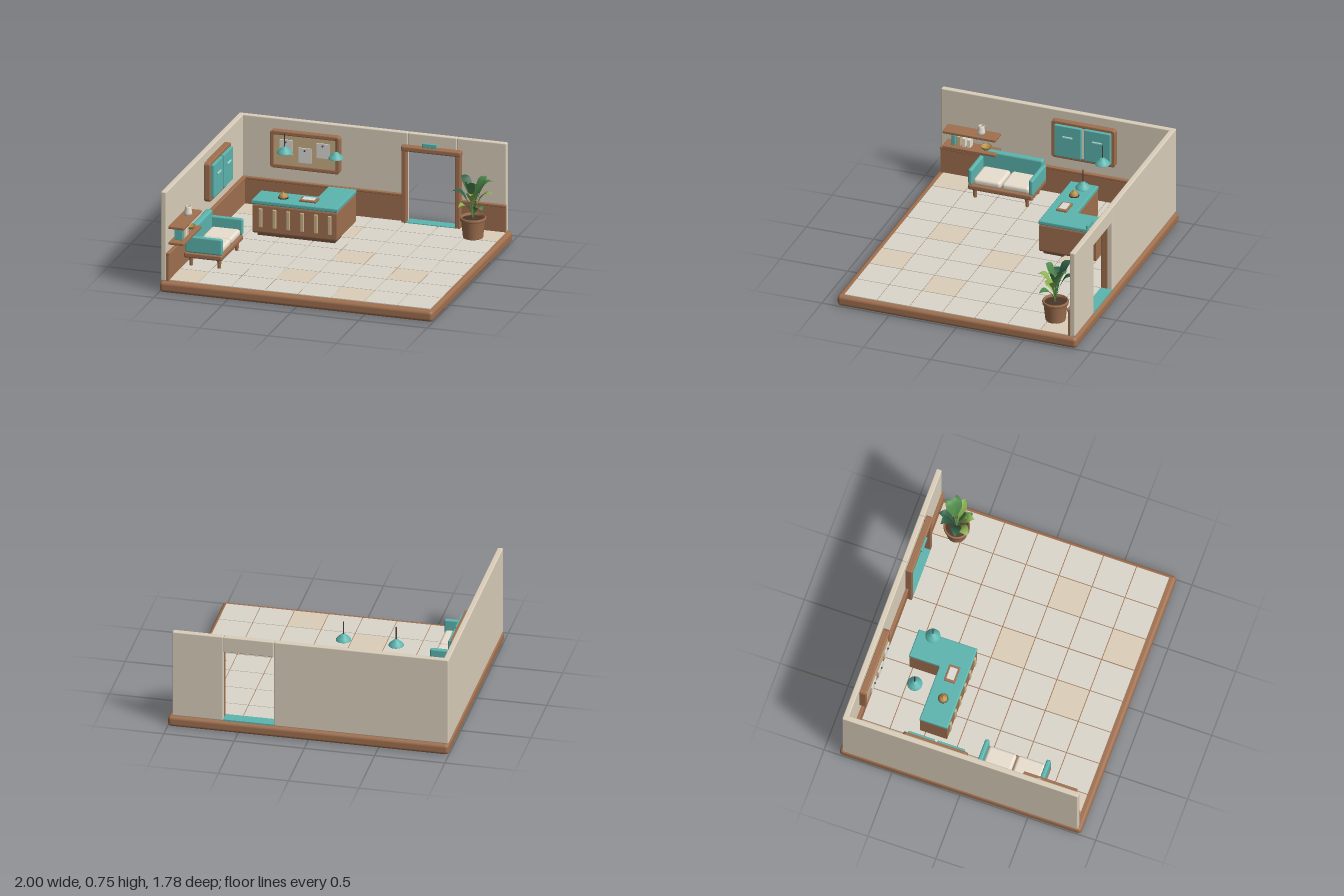
import * as THREE from 'three';
import { RoundedBoxGeometry } from 'three/addons/geometries/RoundedBoxGeometry.js';

const C = {
  wood: 0xa0704f, dark: 0x6b4a36, teal: 0x5cb5af, paleTeal: 0x9fd6d0, wall: 0xdbcfbb, tile: 0xdbd7cc,
  beige: 0xdccfb9, cork: 0xcbb188, cream: 0xe9dfcf, paper: 0xdedcd6, gold: 0xb58f4a, metal: 0x4a4038, soil: 0x4a3628,
};
const mats = {};
const mat = (color, side = THREE.FrontSide) =>
  (mats[color + '_' + side] ??= new THREE.MeshStandardMaterial({ color, side }));

function add(parent, name, geo, color, side) {
  const m = new THREE.Mesh(geo, mat(color, side));
  m.name = name;
  parent.add(m);
  return m;
}
function group(parent, name) {
  const g = new THREE.Group();
  g.name = name;
  parent.add(g);
  return g;
}
// box from its limits on each axis, with rounded edges when r > 0
function box(parent, name, color, [x0, x1], [y0, y1], [z0, z1], r = 0) {
  const s = [x1 - x0, y1 - y0, z1 - z0];
  const geo = r ? new RoundedBoxGeometry(...s, 2, Math.min(r, Math.min(...s) * 0.49)) : new THREE.BoxGeometry(...s);
  const m = add(parent, name, geo, color);
  m.position.set((x0 + x1) / 2, (y0 + y1) / 2, (z0 + z1) / 2);
  return m;
}
function lathe(parent, name, color, pts, x, y, z, side) {
  const m = add(parent, name, new THREE.LatheGeometry(pts.map(p => new THREE.Vector2(...p)), 28), color, side);
  m.position.set(x, y, z);
  return m;
}
function roundRect(P, w, h, r) {
  const s = new P(), a = w / 2, b = h / 2;
  s.moveTo(-a + r, -b).lineTo(a - r, -b).quadraticCurveTo(a, -b, a, -b + r).lineTo(a, b - r)
    .quadraticCurveTo(a, b, a - r, b).lineTo(-a + r, b).quadraticCurveTo(-a, b, -a, b - r)
    .lineTo(-a, -b + r).quadraticCurveTo(-a, -b, -a + r, -b);
  return s;
}
// rectangular frame lying in the xy plane, back face at z = 0
function frame(parent, name, w, h, bar, depth) {
  const b = 0.006;
  const s = roundRect(THREE.Shape, w - 2 * b, h - 2 * b, 0.02);
  s.holes.push(roundRect(THREE.Path, w - 2 * bar + 2 * b, h - 2 * bar + 2 * b, 0.008));
  const geo = new THREE.ExtrudeGeometry(s, { depth: depth - 2 * b, bevelSize: b, bevelThickness: b, bevelSegments: 2 });
  geo.translate(0, 0, b);
  return add(parent, name, geo, C.wood);
}
// L-shaped slab for the counter, between heights y0 and y1
function lSlab(parent, name, color, inset, y0, y1, b) {
  const i = inset + b, s = new THREE.Shape();
  [[-0.685 + i, 0.203 + i], [-0.06 - i, 0.203 + i], [-0.06 - i, 0.635 - i], [-0.267 + i, 0.635 - i],
    [-0.267 + i, 0.425 - i], [-0.282 + i, 0.41 - i], [-0.685 + i, 0.41 - i]]
    .forEach((p, k) => (k ? s.lineTo(...p) : s.moveTo(...p)));
  const geo = new THREE.ExtrudeGeometry(s, { depth: y1 - y0 - 2 * b, bevelSize: b, bevelThickness: b, bevelSegments: 3 });
  geo.rotateX(-Math.PI / 2).translate(0, y0 + b, 0);
  return add(parent, name, geo, color);
}
// arched leaf growing along +x, folded along its midrib
function leafGeometry(reach, tip) {
  const curve = new THREE.QuadraticBezierCurve3(
    new THREE.Vector3(0, 0, 0), new THREE.Vector3(reach * 0.35, tip + 0.04, 0), new THREE.Vector3(reach, tip, 0));
  const n = 12, pos = [], idx = [];
  for (let i = 0; i <= n; i++) {
    const t = i / n, p = curve.getPoint(t);
    const w = t < 0.3 ? 0.005 : 0.005 * (1 - t) + 0.036 * Math.sin(Math.PI * Math.pow((t - 0.3) / 0.7, 0.85));
    pos.push(p.x, p.y + w * 0.3, -w, p.x, p.y, 0, p.x, p.y + w * 0.3, w);
    if (i < n) for (const k of [0, 1]) {
      const a = i * 3 + k;
      idx.push(a, a + 1, a + 3, a + 1, a + 4, a + 3);
    }
  }
  const g = new THREE.BufferGeometry();
  g.setAttribute('position', new THREE.Float32BufferAttribute(pos, 3));
  g.setIndex(idx);
  g.computeVertexNormals();
  return g;
}

export function createModel() {
  const root = new THREE.Group();
  root.name = 'receptionRoom';

  // base and tiled floor
  box(root, 'base', C.wood, [-1, 1], [0, 0.08], [-0.89, 0.89], 0.025);
  const floor = group(root, 'floorTiles');
  const warm = ['0,0', '7,0', '3,1', '4,3', '6,4', '3,5', '0,6', '5,6'];
  const T = 0.243, gap = 0.003;
  for (let c = 0; c < 8; c++) for (let r = 0; r < 7; r++) {
    const x = -0.972 + c * T, z = -0.855 + r * T;
    box(floor, 'tile', warm.includes(c + ',' + r) ? C.beige : C.tile,
      [x + gap, x + T - gap], [0.07, 0.086], [z + gap, Math.min(z + T, 0.85) - gap]);
  }

  // walls with a doorway at the back
  const walls = group(root, 'walls');
  box(walls, 'leftWall', C.wall, [-0.995, -0.955], [0.08, 0.735], [-0.87, 0.866], 0.008);
  box(walls, 'backWallLeft', C.wall, [-0.995, 0.248], [0.08, 0.735], [-0.87, -0.83], 0.008);
  box(walls, 'backWallRight', C.wall, [0.607, 0.97], [0.08, 0.735], [-0.87, -0.83], 0.008);
  box(walls, 'doorLintel', C.wall, [0.248, 0.607], [0.615, 0.735], [-0.87, -0.83], 0.008);

  // wainscot with cap rail
  const wains = group(root, 'wainscot');
  for (const [a, b] of [[-0.955, 0.22], [0.64, 0.97]]) {
    box(wains, 'backPanel', C.wood, [a, b], [0.08, 0.27], [-0.835, -0.817]);
    box(wains, 'backRail', C.wood, [a, b], [0.268, 0.287], [-0.835, -0.808], 0.005);
  }
  box(wains, 'leftPanel', C.wood, [-0.96, -0.938], [0.08, 0.27], [-0.83, 0.864]);
  box(wains, 'leftRail', C.wood, [-0.96, -0.928], [0.268, 0.287], [-0.83, 0.864], 0.005);

  // door frame, threshold and sign
  const door = group(root, 'doorway');
  for (const [a, b] of [[0.215, 0.25], [0.608, 0.645]])
    box(door, 'doorJamb', C.wood, [a, b], [0.08, 0.63], [-0.835, -0.785], 0.006);
  box(door, 'doorHead', C.wood, [0.213, 0.65], [0.612, 0.65], [-0.835, -0.78], 0.01);
  box(door, 'threshold', C.teal, [0.25, 0.608], [0.08, 0.091], [-0.87, -0.785]);
  box(door, 'doorSign', C.teal, [0.375, 0.482], [0.66, 0.692], [-0.78, -0.764], 0.004);

  // L-shaped counter
  const counter = group(root, 'counter');
  box(counter, 'plinth', C.dark, [-0.65, -0.085], [0.08, 0.11], [-0.38, -0.23]);
  lSlab(counter, 'counterBody', C.wood, 0.004, 0.105, 0.322, 0.015);
  lSlab(counter, 'counterTop', C.teal, 0, 0.318, 0.35, 0.008);
  for (let i = 0; i < 6; i++) {
    const x = -0.62 + i * 0.101;
    box(counter, 'frontSlat', C.cork, [x - 0.014, x + 0.014], [0.152, 0.292], [-0.215, -0.196], 0.006);
  }

  // desk bell and tray on the counter
  const bell = group(root, 'deskBell');
  lathe(bell, 'bellBase', C.metal, [[0, 0], [0.036, 0], [0.036, 0.008], [0, 0.01]], -0.487, 0.35, -0.305);
  lathe(bell, 'bellDome', C.gold, [[0.032, 0], [0.03, 0.012], [0.021, 0.023], [0.006, 0.029], [0.006, 0.038], [0, 0.04]],
    -0.487, 0.358, -0.305);
  box(root, 'tray', C.wood, [-0.36, -0.236], [0.348, 0.364], [-0.346, -0.266], 0.005);
  box(root, 'trayPaper', C.paper, [-0.343, -0.253], [0.36, 0.367], [-0.333, -0.279]);

  // pendant lamps
  for (const x of [-0.54, -0.165]) {
    const lamp = group(root, 'pendantLamp');
    lathe(lamp, 'lampShade', C.teal, [[0.053, 0], [0.053, 0.006], [0.04, 0.022], [0.022, 0.036], [0.014, 0.046], [0, 0.05]],
      x, 0.612, -0.495, THREE.DoubleSide);
    const rod = add(lamp, 'lampRod', new THREE.CylinderGeometry(0.004, 0.004, 0.1, 10), C.metal);
    rod.position.set(x, 0.705, -0.495);
    const bulb = add(lamp, 'bulb', new THREE.SphereGeometry(0.016, 16, 10), C.cream);
    bulb.position.set(x, 0.624, -0.495);
  }

  // notice board with pinned sheets
  const board = group(root, 'noticeBoard');
  frame(board, 'boardFrame', 0.51, 0.275, 0.03, 0.05).position.set(-0.49, 0.523, -0.832);
  box(board, 'corkPanel', C.cork, [-0.73, -0.25], [0.4, 0.645], [-0.832, -0.79]);
  for (const [x, y] of [[-0.62, 0.553], [-0.482, 0.505], [-0.35, 0.553]]) {
    box(board, 'sheet', C.paper, [x - 0.046, x + 0.046], [y - 0.054, y + 0.054], [-0.772, -0.764]);
    const pin = add(board, 'pin', new THREE.SphereGeometry(0.007, 12, 8), C.metal);
    pin.position.set(x, y + 0.038, -0.76);
  }

  // wall cabinet on the left wall
  const cab = group(root, 'wallCabinet');
  const cf = frame(cab, 'cabinetFrame', 0.475, 0.29, 0.028, 0.045);
  cf.rotation.y = Math.PI / 2;
  cf.position.set(-0.957, 0.525, -0.207);
  box(cab, 'cabinetBack', C.cream, [-0.957, -0.915], [0.395, 0.655], [-0.43, 0.015]);
  for (const [a, b] of [[-0.2, 0], [-0.417, -0.22]]) {
    box(cab, 'cabinetDoor', C.teal, [-0.918, -0.891], [0.405, 0.648], [a, b], 0.006);
    const z = (a + b) / 2;
    box(cab, 'doorHandle', C.paleTeal, [-0.893, -0.88], [0.557, 0.572], [z - 0.037, z + 0.037], 0.005);
  }

  // sofa
  const sofa = group(root, 'sofa');
  box(sofa, 'seatBase', C.wood, [-0.932, -0.652], [0.15, 0.19], [0.072, 0.552], 0.012);
  box(sofa, 'sofaBack', C.teal, [-0.922, -0.874], [0.185, 0.355], [0.078, 0.542], 0.016);
  for (const [a, b] of [[0.066, 0.098], [0.518, 0.55]])
    box(sofa, 'armrest', C.teal, [-0.922, -0.652], [0.19, 0.31], [a, b], 0.012);
  for (const [a, b] of [[0.099, 0.303], [0.311, 0.516]])
    box(sofa, 'seatCushion', C.cream, [-0.876, -0.662], [0.187, 0.24], [a, b], 0.022);
  for (const x of [-0.89, -0.685]) for (const z of [0.12, 0.508]) {
    const leg = add(sofa, 'sofaLeg', new THREE.CylinderGeometry(0.016, 0.012, 0.075, 14), C.wood);
    leg.position.set(x, 0.122, z);
  }

  // wall shelves with books, vase and bowl
  const shelves = group(root, 'shelves');
  for (const y of [0.331, 0.447])
    box(shelves, 'shelfBoard', C.wood, [-0.957, -0.843], [y, y + 0.02], [0.418, 0.814], 0.005);
  [[C.teal, 0.742, 0.082], [C.cork, 0.704, 0.076], [C.cream, 0.666, 0.07], [C.cream, 0.629, 0.064]].forEach(([c, z, h]) =>
    box(shelves, 'book', c, [-0.932, -0.872], [0.35, 0.35 + h], [z - 0.013, z + 0.013], 0.003));
  lathe(shelves, 'vase', C.cream, [[0, 0], [0.029, 0], [0.028, 0.02], [0.021, 0.058], [0.022, 0.066], [0.016, 0.066], [0.015, 0.03], [0, 0.03]],
    -0.9, 0.466, 0.545, THREE.DoubleSide);
  lathe(shelves, 'bowl', C.gold, [[0, 0], [0.018, 0], [0.033, 0.012], [0.04, 0.027], [0.035, 0.026], [0.02, 0.01], [0, 0.008]],
    -0.9, 0.35, 0.508, THREE.DoubleSide);

  // potted plant: angle, reach, tip height above soil, colour
  const plant = group(root, 'pottedPlant');
  plant.position.set(0.785, 0, -0.655);
  lathe(plant, 'pot', C.wood, [[0, 0.084], [0.068, 0.084], [0.071, 0.09], [0.084, 0.212], [0.092, 0.214], [0.093, 0.232],
    [0.088, 0.238], [0.08, 0.236], [0.079, 0.21]], 0, 0, 0, THREE.DoubleSide);
  lathe(plant, 'soil', C.soil, [[0.08, 0], [0, 0.006]], 0, 0.22, 0);
  const [deep, mid, light] = [0x2f6045, 0x4f8a4a, 0x8db552];
  [[5, 0.15, 0.2, light], [42, 0.13, 0.1, mid], [80, 0.125, 0.21, light], [125, 0.13, 0.11, light], [165, 0.15, 0.2, deep],
    [215, 0.14, 0.28, deep], [262, 0.13, 0.21, deep], [305, 0.13, 0.28, mid], [340, 0.14, 0.27, mid], [100, 0.08, 0.28, mid]]
    .forEach(([deg, reach, tip, color]) => {
      const leaf = add(plant, 'leaf', leafGeometry(reach, tip), color, THREE.DoubleSide);
      leaf.position.y = 0.22;
      leaf.rotation.y = -deg * Math.PI / 180;
    });
  return root;
}
